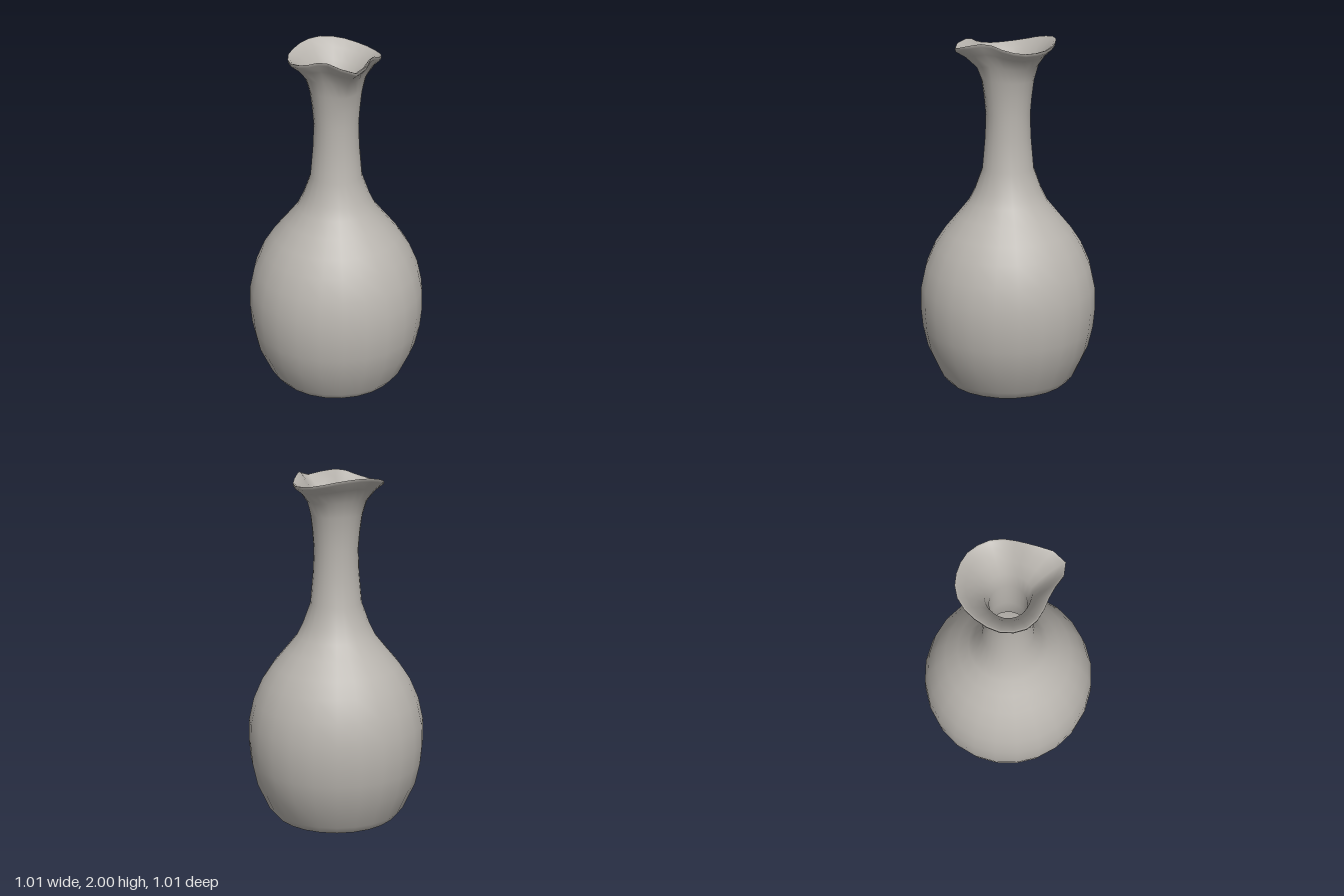
import * as THREE from 'three';
import { mergeVertices } from 'three/addons/utils/BufferGeometryUtils.js';

const SEGMENTS = 24;

// Rim radius and height every 15 degrees, from the front spout round to the back
const RIM_R = [0.31, 0.28, 0.237, 0.223, 0.23, 0.245, 0.258, 0.262, 0.265, 0.262, 0.262, 0.267, 0.27];
const RIM_Y = [1.955, 1.975, 1.99, 1.985, 1.965, 1.95, 1.942, 1.944, 1.952, 1.965, 1.98, 1.99, 1.995];

// Lathe whose rows [radius, height, flare] are pulled towards the wavy rim by flare
function flaredLathe(rows) {
  const points = rows.map(([r, y]) => new THREE.Vector2(r, y));
  let geometry = new THREE.LatheGeometry(points, SEGMENTS);
  const pos = geometry.attributes.position;
  for (let s = 0; s <= SEGMENTS; s++) {
    const k = Math.min(s, SEGMENTS - s);
    const angle = (s % SEGMENTS) / SEGMENTS * Math.PI * 2;
    rows.forEach(([r0, y0, flare = 0], j) => {
      const r = THREE.MathUtils.lerp(r0, RIM_R[k], flare);
      const y = y0 + (RIM_Y[k] - 1.96) * flare;
      pos.setXYZ(s * rows.length + j, r * Math.sin(angle), y, r * Math.cos(angle));
    });
  }
  // Weld the seam so shading runs smoothly around
  geometry.deleteAttribute('uv');
  geometry.deleteAttribute('normal');
  geometry = mergeVertices(geometry, 1e-5);
  geometry.computeVertexNormals();
  return geometry;
}

export function createModel() {
  const group = new THREE.Group();
  group.name = 'vase';
  const clay = new THREE.MeshStandardMaterial({ color: 0xb8b4ae });
  clay.name = 'warm grey clay';

  const add = (name, rows) => {
    const mesh = new THREE.Mesh(flaredLathe(rows), clay);
    mesh.name = name;
    group.add(mesh);
  };

  // Rounded belly, neck and flared outer lip
  add('outerWall', [
    [0.32, 0.004], [0.36, 0.018], [0.40, 0.065], [0.47, 0.22], [0.497, 0.345],
    [0.507, 0.46], [0.503, 0.58], [0.475, 0.705], [0.425, 0.82], [0.365, 0.91],
    [0.29, 1.0], [0.225, 1.08], [0.19, 1.15], [0.146, 1.27], [0.13, 1.45],
    [0.125, 1.58], [0.127, 1.68, 0.05], [0.13, 1.77, 0.12], [0.13, 1.85, 0.3],
    [0.13, 1.91, 0.66], [0.13, 1.945, 0.98], [0.13, 1.962, 1],
  ]);

  // Thin lip rolling into the funnel, neck bore and hollow belly
  add('innerWall', [
    [0.10, 1.962, 1], [0.10, 1.96, 0.93], [0.10, 1.925, 0.7], [0.10, 1.87, 0.42],
    [0.10, 1.79, 0.14], [0.10, 1.68], [0.10, 1.45], [0.118, 1.27], [0.195, 1.08],
    [0.335, 0.91], [0.445, 0.705], [0.475, 0.46], [0.44, 0.22], [0.36, 0.06], [0, 0.04],
  ]);

  // Slightly recessed underside
  add('base', [[0, 0.012], [0.17, 0.012], [0.29, 0.008], [0.31, 0], [0.32, 0.004]]);

  return group;
}
